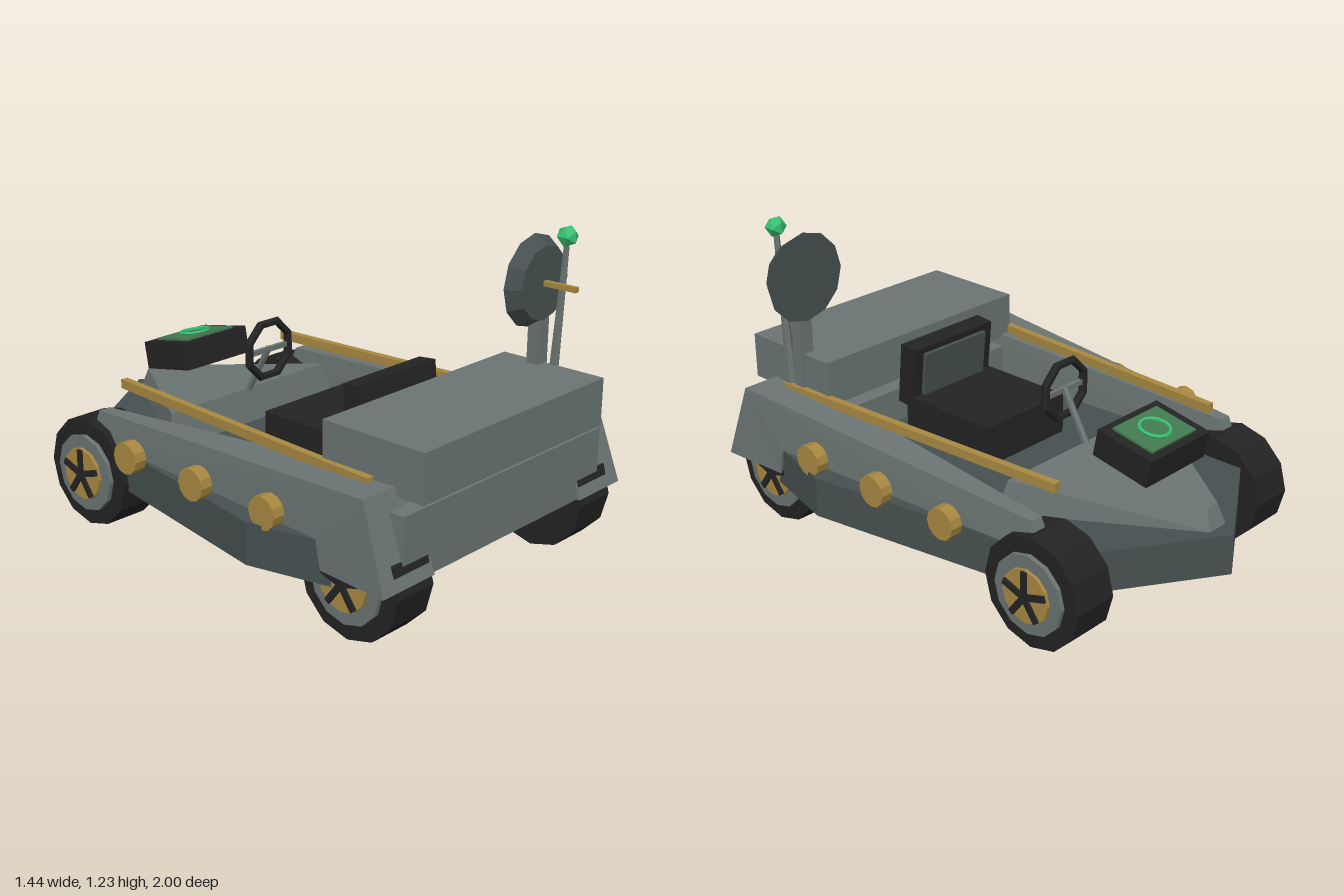
import * as THREE from 'three';
import { ConvexGeometry } from 'three/addons/geometries/ConvexGeometry.js';

export function createModel() {
  const model = new THREE.Group();
  model.name = 'buggy';

  const material = (name, color) => {
    const m = new THREE.MeshStandardMaterial({ color, flatShading: true });
    m.name = name;
    return m;
  };
  const lightGrey = material('light grey panel', 0x6b7573);
  const darkGrey = material('dark grey hull', 0x465050);
  const black = material('black rubber', 0x232323);
  const gold = material('gold trim', 0xa98941);
  const green = material('bright green', 0x38c172);
  const screenGreen = material('screen green', 0x437a50);

  const add = (name, geometry, mat, x = 0, y = 0, z = 0, parent = model) => {
    const mesh = new THREE.Mesh(geometry, mat);
    mesh.name = name;
    mesh.position.set(x, y, z);
    parent.add(mesh);
    return mesh;
  };
  const box = (name, size, mat, x, y, z, parent) =>
    add(name, new THREE.BoxGeometry(...size), mat, x, y, z, parent);
  // Cylinder lying along x
  const disc = (name, r, width, mat, x, y, z, parent, sides = 12) =>
    add(name, new THREE.CylinderGeometry(r, r, width, sides).rotateZ(Math.PI / 2), mat, x, y, z, parent);
  // Tapered rod between two points
  const rod = (name, a, b, r0, r1, mat, sides = 6) => {
    const from = new THREE.Vector3(...a), to = new THREE.Vector3(...b);
    const dir = to.clone().sub(from);
    const mesh = add(name, new THREE.CylinderGeometry(r1, r0, dir.length(), sides), mat);
    mesh.position.copy(from).add(to).multiplyScalar(0.5);
    mesh.quaternion.setFromUnitVectors(new THREE.Vector3(0, 1, 0), dir.normalize());
    return mesh;
  };
  const lerp = THREE.MathUtils.lerp;

  // Hull: pointed plan outline, flat top and bottom
  const half = [[0.54, -0.65], [0.72, 0.4], [0.6, 0.89]];
  const outline = [[0, -1], ...half, ...half.map(([x, z]) => [-x, z]).reverse()];
  const hull = new THREE.ExtrudeGeometry(
    new THREE.Shape(outline.map(p => new THREE.Vector2(...p))), { depth: 0.16, bevelEnabled: false });
  add('hull', hull.rotateX(Math.PI / 2), darkGrey, 0, 0.35, 0);

  // Wedge-shaped nose deck
  const deckPoints = [];
  for (const s of [-1, 1]) {
    deckPoints.push(
      new THREE.Vector3(s * 0.03, 0.43, -0.9), new THREE.Vector3(s * 0.045, 0.35, -0.93),
      new THREE.Vector3(s * 0.42, 0.48, -0.31), new THREE.Vector3(s * 0.45, 0.35, -0.28));
  }
  add('noseDeck', new ConvexGeometry(deckPoints), lightGrey);

  // Fenders: side profile widened towards the rear
  const fenderProfile = [[0.876, 0.556], [0.984, 0.246], [0.69, 0.246], [0.667, 0.353], [-0.6, 0.353], [-0.56, 0.47]];
  const fenderGeometry = side => {
    const shape = new THREE.Shape(fenderProfile.map(([z, y]) => new THREE.Vector2(-z, y)));
    const g = new THREE.ExtrudeGeometry(shape, { depth: 1, bevelEnabled: false }).rotateY(Math.PI / 2);
    const p = g.attributes.position;
    for (let i = 0; i < p.count; i++) {
      const t = (p.getZ(i) + 0.56) / 1.436;
      const low = p.getY(i) < 0.4 ? 0.012 : 0;
      const s = side > 0 ? p.getX(i) : 1 - p.getX(i);
      p.setX(i, side * lerp(lerp(0.518, 0.437, t) - low, lerp(0.568, 0.66, t) + low, s));
    }
    g.computeVertexNormals();
    return g;
  };

  // Wheel with rim, hub and five spokes on the outer face
  const wheel = (name, side, z) => {
    const g = new THREE.Group();
    g.name = name;
    g.position.set(side * 0.52, 0.218, z);
    model.add(g);
    disc('tyre', 0.218, 0.18, black, 0, 0, 0, g);
    disc('rim', 0.155, 0.03, lightGrey, side * 0.093, 0, 0, g);
    disc('hub', 0.105, 0.03, gold, side * 0.106, 0, 0, g);
    for (let i = 0; i < 5; i++) {
      const spoke = new THREE.BoxGeometry(0.02, 0.1, 0.024).translate(0, 0.05, 0).rotateX(i * Math.PI * 0.4);
      add('spoke', spoke, black, side * 0.121, 0, 0, g);
    }
  };

  for (const side of [-1, 1]) {
    const label = side > 0 ? 'left' : 'right';
    add(label + 'Fender', fenderGeometry(side), lightGrey);
    wheel(label + 'NoseWheel', side, -0.595);
    wheel(label + 'TailWheel', side, 0.77);
    for (const z of [0.46, 0.105, -0.25]) {
      disc(label + 'SideLamp', 0.062, 0.05, gold, side * 0.68, 0.395, z);
    }
    const rail = box(label + 'Rail', [0.03, 0.036, 1.352], gold, side * 0.481, 0.549, 0.113);
    rail.rotation.y = side * 0.063;
  }

  // Storage boxes at the tail
  box('lowerBox', [1.118, 0.25, 0.42], lightGrey, 0, 0.364, 0.752);
  box('upperBox', [1.012, 0.183, 0.443], lightGrey, 0, 0.614, 0.777);

  // Seat
  box('seatBase', [0.43, 0.165, 0.44], black, 0, 0.43, 0.21);
  const back = new THREE.Group();
  back.name = 'seatBack';
  back.position.set(0, 0.595, 0.43);
  back.rotation.x = -0.1;
  model.add(back);
  box('backrest', [0.425, 0.25, 0.078], black, 0, 0, 0, back);
  box('backrestPanel', [0.33, 0.18, 0.02], darkGrey, 0, 0.01, -0.045, back);

  // Steering wheel and column
  const ring = new THREE.TorusGeometry(0.114, 0.017, 6, 8).rotateZ(Math.PI / 8);
  add('steeringWheel', ring, black, 0, 0.665, -0.205);
  box('steeringBar', [0.2, 0.02, 0.015], lightGrey, 0, 0.665, -0.205);
  rod('steeringColumn', [0, 0.67, -0.205], [0, 0.46, -0.325], 0.014, 0.014, lightGrey);

  // Tilted display console
  const display = new THREE.Group();
  display.name = 'display';
  display.position.set(0, 0.58, -0.622);
  display.rotation.x = -0.19;
  model.add(display);
  box('displayCase', [0.335, 0.11, 0.25], black, 0, 0, 0, display);
  box('screen', [0.25, 0.009, 0.185], screenGreen, 0, 0.059, 0, display);
  add('screenRing', new THREE.TorusGeometry(0.058, 0.007, 5, 14).rotateX(Math.PI / 2), green, 0, 0.068, 0, display);

  // Dish on its mast, with the gold feed
  box('dishMast', [0.06, 0.48, 0.05], lightGrey, 0.49, 0.72, 0.715);
  const dish = new THREE.CylinderGeometry(0.142, 0.178, 0.055, 12).rotateX(Math.PI / 2);
  add('dish', dish, darkGrey, 0.482, 1.015, 0.713);
  box('dishFeed', [0.02, 0.02, 0.14], gold, 0.482, 1.015, 0.81);

  // Aerial with a green beacon
  rod('aerial', [0.51, 0.53, 0.77], [0.51, 1.19, 0.808], 0.022, 0.011, lightGrey);
  add('beacon', new THREE.IcosahedronGeometry(0.042, 0), green, 0.51, 1.197, 0.808);

  return model;
}
